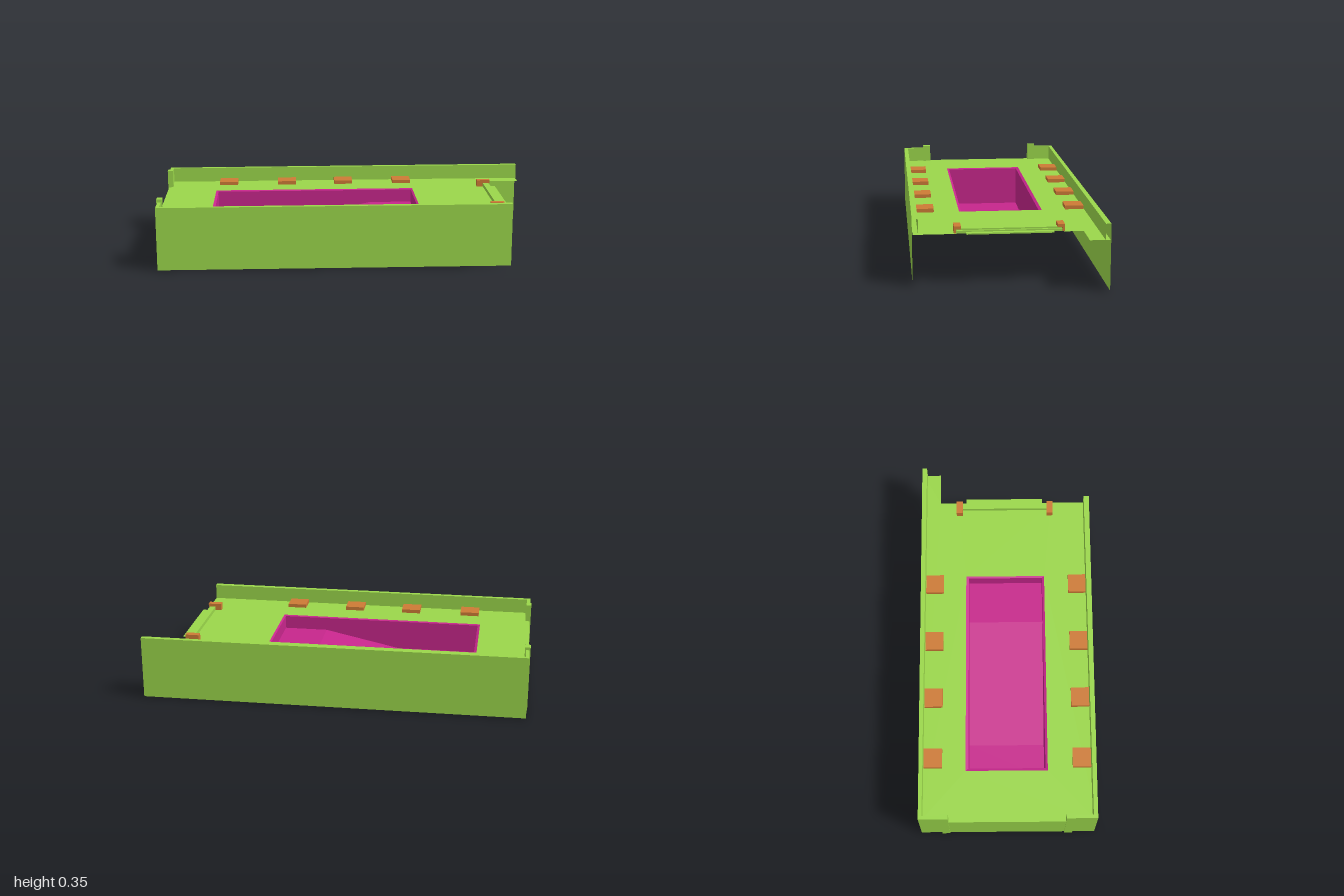
import * as THREE from 'three';

const material = (color) => new THREE.MeshStandardMaterial({ color, side: THREE.DoubleSide, flatShading: true });

export function createModel() {
  const model = new THREE.Group();
  const green = material(0x9ad64a), pink = material(0xc6268b), orange = material(0xcc7a35);

  const add = (name, geometry, mat) => {
    const mesh = new THREE.Mesh(geometry, mat);
    mesh.name = name;
    model.add(mesh);
    return mesh;
  };
  // box given by its limits on each axis
  const box = (name, mat, [x0, x1], [y0, y1], [z0, z1]) => {
    const mesh = add(name, new THREE.BoxGeometry(x1 - x0, y1 - y0, z1 - z0), mat);
    mesh.position.set((x0 + x1) / 2, (y0 + y1) / 2, (z0 + z1) / 2);
  };
  // open sheet running between two matching rows of points
  const sheet = (name, mat, rowA, rowB) => {
    const points = [], index = [];
    rowA.forEach((p, i) => {
      points.push(...p, ...rowB[i]);
      const k = i * 2;
      if (i) index.push(k - 2, k - 1, k, k, k - 1, k + 1);
    });
    const g = new THREE.BufferGeometry();
    g.setAttribute('position', new THREE.Float32BufferAttribute(points, 3));
    g.setIndex(index);
    const flat = g.toNonIndexed();
    flat.computeVertexNormals();
    add(name, flat, mat);
  };
  const polygon = (pts) => new THREE.Shape(pts.map(([x, y]) => new THREE.Vector2(x, y)));
  // horizontal sheet outlined in x, z with an optional hole
  const plate = (name, mat, y, outline, hole) => {
    const flip = (pts) => pts.map(([x, z]) => [x, -z]);
    const shape = polygon(flip(outline));
    if (hole) shape.holes.push(polygon(flip(hole)));
    add(name, new THREE.ShapeGeometry(shape).rotateX(-Math.PI / 2), mat).position.y = y;
  };
  const rect = (x0, x1, z0, z1) => [[x0, z0], [x1, z0], [x1, z1], [x0, z1]];

  const deckY = 0.254, wallTop = 0.333, bottom = 0.005;

  // Deck with the pool opening, end recess and rear extension
  const opening = rect(-0.725, 0.372, -0.22, 0.208);
  plate('deck', green, deckY, [
    [-0.995, 0.455], [0.82, 0.46], [0.82, 0.25], [0.81, 0.25], [0.81, -0.27],
    [0.82, -0.27], [0.82, -0.365], [0.995, -0.365], [0.995, -0.464], [-0.995, -0.458],
  ], opening);

  // Side walls: outer skin, top ledge and inner skin, slightly flared
  const sideWall = (name, end, zStart, zEnd, zInner) => {
    const section = (x, z) => [[x, bottom, z], [x, wallTop, z], [x, wallTop, zInner], [x, deckY, zInner]];
    sheet(name, green, section(-0.995, zStart), section(end, zEnd));
  };
  sideWall('frontWall', 0.82, 0.456, 0.463, 0.434);
  sideWall('rearWall', 0.998, -0.459, -0.466, -0.44);

  // End wall: low in the middle, raised at the corners, with two posts
  sheet('endWall', green, [[-0.995, bottom, 0.456], [-0.995, deckY, 0.456]],
    [[-0.995, bottom, -0.459], [-0.995, deckY, -0.459]]);
  for (const s of [1, -1]) {
    const outer = s > 0 ? 0.456 : -0.459;
    const profile = (z) => [[-0.995, deckY, z], [-0.995, wallTop, z], [-0.977, wallTop, z], [-0.977, deckY, z]];
    sheet('endWallCorner', green, profile(s * 0.335), profile(outer));
    const c = s > 0 ? 0.318 : -0.328;
    box('endPost', green, [-1, -0.972], [0, 0.347], [c - 0.021, c + 0.021]);
  }

  // Pool: rim, shaped floor, ends and sides
  const px0 = -0.712, px1 = 0.362, pz0 = -0.205, pz1 = 0.196, rimY = 0.25;
  const loop = (pts, y) => [...pts, pts[0]].map(([x, z]) => [x, y, z]);
  sheet('poolRim', pink, loop(opening, deckY), loop(rect(px0, px1, pz0, pz1), rimY));
  const floor = [[px0, rimY], [px0, 0.038], [-0.53, 0.038], [0.13, 0.18], [px1, 0.18], [px1, rimY]];
  sheet('poolFloorAndEnds', pink, floor.map(([x, y]) => [x, y, pz0]), floor.map(([x, y]) => [x, y, pz1]));
  for (const z of [pz0, pz1]) add('poolSide', new THREE.ShapeGeometry(polygon(floor)), pink).position.z = z;

  // Pads along both walls
  for (const x of [-0.66, -0.33, -0.01, 0.322])
    for (const [z0, z1] of [[-0.438, -0.342], [0.338, 0.433]])
      box('pad', orange, [x - 0.051, x + 0.051], [deckY, 0.273], [z0, z1]);

  // Stepped bar at the open end, with its projecting lip
  box('endBar', green, [0.775, 0.8], [deckY, 0.274], [-0.262, 0.252]);
  box('endBarStep', green, [0.8, 0.812], [deckY, 0.267], [-0.262, 0.252]);
  box('endLip', green, [0.812, 0.84], [deckY, 0.261], [-0.22, 0.204]);

  // Hooked clips holding the bar
  for (const s of [1, -1]) {
    const o = -0.006, hook = [0.268 * s + o, 0.234 * s + o].sort((a, b) => a - b);
    const leg = [0.268 * s + o, 0.258 * s + o].sort((a, b) => a - b);
    box('clipHook', orange, [0.742, 0.814], [0.274, 0.29], hook);
    box('clipLeg', orange, [0.742, 0.814], [deckY, 0.274], leg);
    const foot = [0.258 * s + o, 0.234 * s + o].sort((a, b) => a - b);
    box('clipFoot', orange, [0.742, 0.775], [deckY, 0.274], foot);
  }

  return model;
}
